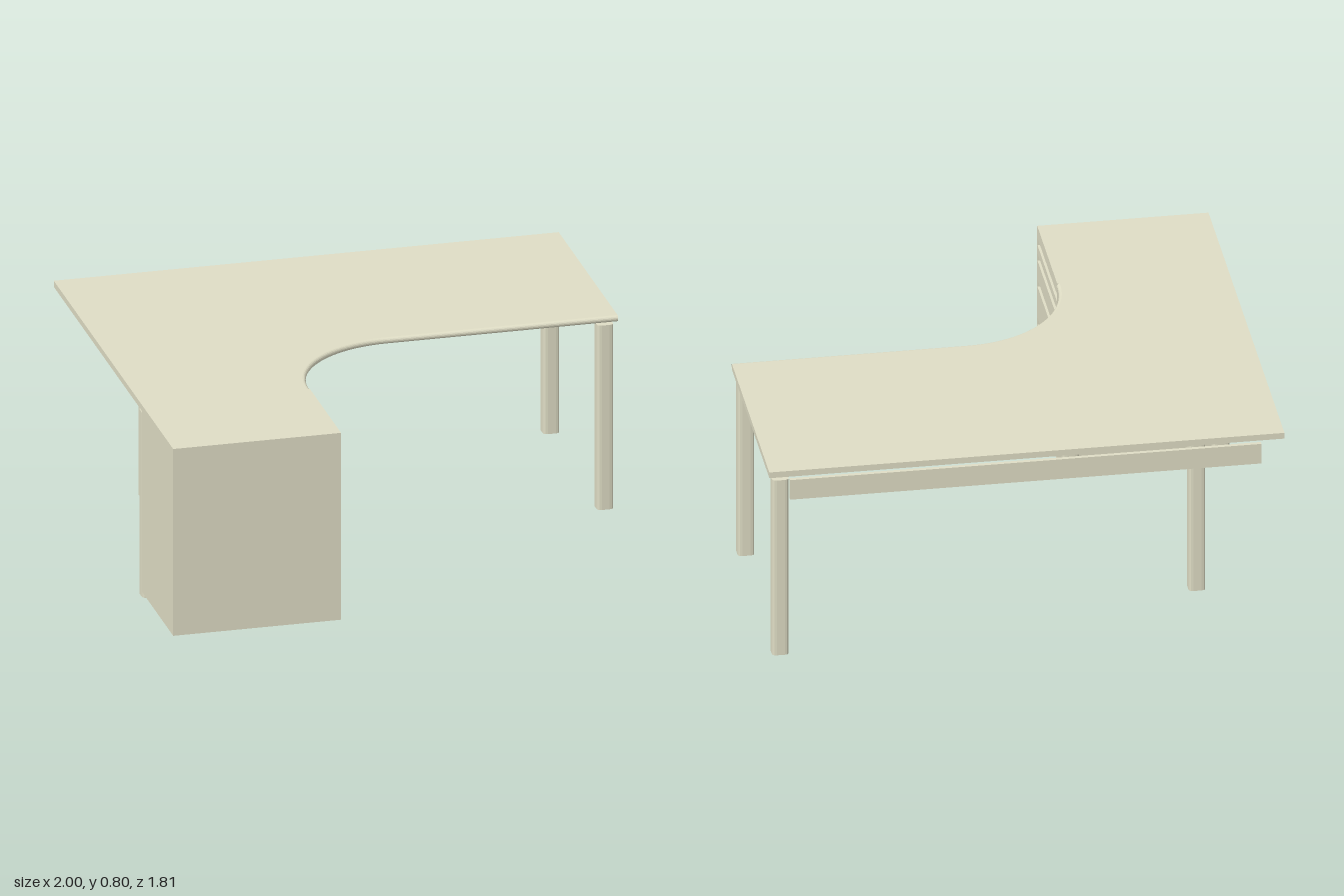
import * as THREE from 'three';
import { ParametricGeometry } from 'three/addons/geometries/ParametricGeometry.js';

const material = new THREE.MeshStandardMaterial({ color: 0xdedcc4 });
const openMaterial = new THREE.MeshStandardMaterial({ color: 0xdedcc4, side: THREE.DoubleSide });

const TOP = 0.8, SLAB = 0.025, LEG_HEIGHT = 0.76;
const BACK = -0.905, FRONT = 0.905, JOIN = 0.43;

export function createModel() {
  const desk = new THREE.Group();
  desk.name = 'cornerDesk';

  const add = (parent, name, geometry, mat = material) => {
    const mesh = new THREE.Mesh(geometry, mat);
    mesh.name = name;
    parent.add(mesh);
    return mesh;
  };
  // Box given by its lower and upper corners
  const box = (parent, name, [x0, y0, z0], [x1, y1, z1]) => {
    const g = new THREE.BoxGeometry(x1 - x0, y1 - y0, z1 - z0);
    g.translate((x0 + x1) / 2, (y0 + y1) / 2, (z0 + z1) / 2);
    return add(parent, name, g);
  };

  // Inner edge of the top: short straight, quarter arc, long straight.
  // Each sample is a point (x, z) and its outward direction.
  const cx = 0.085, cz = 0.415, r = 0.43, steps = 24;
  const edge = [{ x: cx - r, z: JOIN, nx: 1, nz: 0 }];
  for (let i = 0; i <= steps; i++) {
    const a = Math.PI + (i / steps) * Math.PI / 2;
    const c = Math.cos(a), s = Math.sin(a);
    edge.push({ x: cx + r * c, z: cz + r * s, nx: -c, nz: -s });
  }
  edge.push({ x: 1, z: cz - r, nx: 0, nz: 1 });

  // L-shaped table top
  const outline = new THREE.Shape([
    new THREE.Vector2(1, BACK),
    new THREE.Vector2(-1, BACK),
    new THREE.Vector2(-1, JOIN),
    ...edge.map((p) => new THREE.Vector2(p.x, p.z)),
  ]);
  const slab = new THREE.ExtrudeGeometry(outline, { depth: SLAB, bevelEnabled: false });
  slab.rotateX(Math.PI / 2).translate(0, TOP, 0);
  add(desk, 'tableTop', slab);

  // Half-round lip along the inner edge
  const last = edge.length - 1;
  const lip = new ParametricGeometry((u, v, target) => {
    const p = edge[Math.min(last, Math.round(u * last))];
    const a = (v - 0.5) * Math.PI;
    const out = 0.012 * Math.cos(a);
    target.set(p.x + p.nx * out, TOP - SLAB / 2 + Math.sin(a) * SLAB / 2, p.z + p.nz * out);
  }, last, 8);
  add(desk, 'roundedLip', lip, openMaterial);

  // Legs: square posts with rounded corners
  const h = 0.0325, k = 0.017;
  const section = new THREE.Shape();
  section.moveTo(h, -h + k);
  section.lineTo(h, h - k).quadraticCurveTo(h, h, h - k, h);
  section.lineTo(-h + k, h).quadraticCurveTo(-h, h, -h, h - k);
  section.lineTo(-h, -h + k).quadraticCurveTo(-h, -h, -h + k, -h);
  section.lineTo(h - k, -h).quadraticCurveTo(h, -h, h, -h + k);
  const post = new THREE.ExtrudeGeometry(section, { depth: LEG_HEIGHT, bevelEnabled: false, curveSegments: 3 });
  post.rotateX(-Math.PI / 2);
  const legs = {
    frontLeftLeg: [0.955, -0.052],
    backLeftLeg: [0.955, -0.868],
    backRightLeg: [-0.705, -0.61],
    pedestalInnerLeg: [-0.378, 0.391],
    pedestalOuterLeg: [-0.962, 0.391],
  };
  for (const [name, [x, z]] of Object.entries(legs)) {
    add(desk, name, post).position.set(x, 0, z);
  }

  // Stretcher panel under the back edge
  box(desk, 'backPanel', [-0.915, 0.66, -0.878], [0.915, 0.745, -0.862]);

  // Drawer pedestal, open underneath
  const pedestal = new THREE.Group();
  pedestal.name = 'drawerPedestal';
  desk.add(pedestal);
  const L = -1, R = -0.335, bottom = 0.03, t = 0.012;
  box(pedestal, 'pedestalTop', [L, TOP - SLAB, JOIN], [R, TOP, FRONT]);
  box(pedestal, 'outerSide', [L, bottom, JOIN], [L + t, TOP - SLAB, FRONT]);
  box(pedestal, 'backSide', [L + t, bottom, JOIN], [R - 0.02, TOP - SLAB, JOIN + t]);
  box(pedestal, 'frontSide', [L + t, bottom, FRONT - t], [R - 0.02, TOP - SLAB, FRONT]);

  // Drawer fronts with one long finger groove each
  const rect = (Type, z0, y0, z1, y1) => new Type([
    new THREE.Vector2(z0, y0), new THREE.Vector2(z1, y0),
    new THREE.Vector2(z1, y1), new THREE.Vector2(z0, y1),
  ]);
  const face = rect(THREE.Shape, JOIN, bottom, FRONT, TOP - SLAB);
  for (const y of [0.735, 0.668, 0.555, 0.39, 0.222]) {
    face.holes.push(rect(THREE.Path, JOIN + 0.01, y - 0.016, FRONT - 0.007, y + 0.016));
  }
  const fronts = new THREE.ExtrudeGeometry(face, { depth: 0.02, bevelEnabled: false });
  fronts.rotateY(-Math.PI / 2).translate(R, 0, 0);
  add(pedestal, 'drawerFronts', fronts);
  box(pedestal, 'grooveBacking', [R - 0.026, bottom, JOIN + t], [R - 0.02, TOP - SLAB, FRONT - t]);

  return desk;
}
